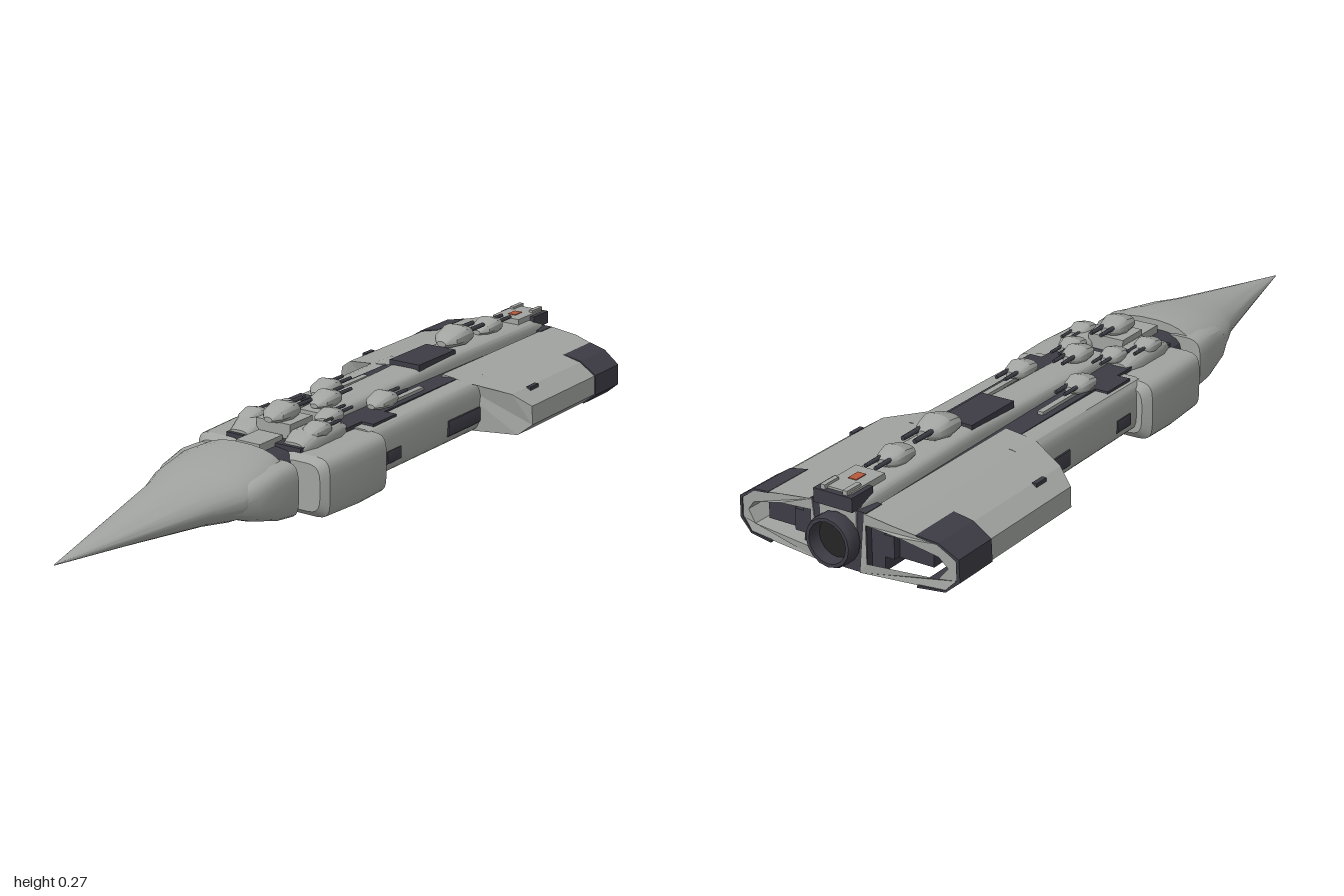
import * as THREE from 'three';
import { toCreasedNormals } from 'three/addons/utils/BufferGeometryUtils.js';

const mat = (name, color) => Object.assign(new THREE.MeshStandardMaterial({ color }), { name });

export function createModel() {
  const ship = new THREE.Group();
  ship.name = 'spaceship';
  const hull = mat('hull grey', 0xa0a39f);
  const dark = mat('dark panel', 0x3d3c45);
  const black = mat('engine black', 0x242424);
  const red = mat('red marking', 0xb5593c);

  function add(name, geo, material, parent = ship) {
    const m = new THREE.Mesh(geo, material);
    m.name = name;
    parent.add(m);
    return m;
  }

  // Loft along x through rounded sections [x, zCentre, halfWidth, yBottom, yTop, squareness]
  function loft(sections, n = 20) {
    const rings = sections.map(([x, zc, w, y0, y1, e = 2]) => {
      const ring = [];
      for (let j = 0; j < n; j++) {
        const a = ((j + 0.5) / n) * Math.PI * 2, c = Math.cos(a), s = Math.sin(a);
        const f = (v) => Math.sign(v) * Math.abs(v) ** (2 / e);
        ring.push([x, (y0 + y1) / 2 + f(s) * (y1 - y0) / 2, zc + w * f(c)]);
      }
      return ring;
    });
    const pos = [];
    const tri = (a, b, c) => pos.push(...a, ...b, ...c);
    for (let i = 0; i < rings.length - 1; i++) {
      for (let j = 0; j < n; j++) {
        const k = (j + 1) % n;
        tri(rings[i][j], rings[i + 1][j], rings[i + 1][k]);
        tri(rings[i][j], rings[i + 1][k], rings[i][k]);
      }
    }
    const mid = ([x, zc, , y0, y1]) => [x, (y0 + y1) / 2, zc];
    const last = rings.length - 1;
    for (let j = 0; j < n; j++) {
      const k = (j + 1) % n;
      tri(mid(sections[0]), rings[0][j], rings[0][k]);
      tri(mid(sections[last]), rings[last][k], rings[last][j]);
    }
    const g = new THREE.BufferGeometry();
    g.setAttribute('position', new THREE.Float32BufferAttribute(pos, 3));
    return toCreasedNormals(g, 0.5);
  }

  // Extrude a [z, y] profile along x on one side, with swept front and rear edges
  function prism(profile, side, x0, x1, { hole, sweep0 = 0, sweep1 = 0 } = {}) {
    const pts = (p) => p.map(([z, y]) => new THREE.Vector2(-side * z, y));
    const shape = new THREE.Shape(pts(profile));
    if (hole) shape.holes.push(new THREE.Path(pts(hole)));
    const g = new THREE.ExtrudeGeometry(shape, { depth: x1 - x0, bevelEnabled: false });
    g.rotateY(Math.PI / 2).translate(x0, 0, 0);
    const p = g.attributes.position;
    for (let i = 0; i < p.count; i++) {
      const t = Math.max(0, (Math.abs(p.getZ(i)) - 0.17) / 0.12);
      const x = p.getX(i);
      p.setX(i, x + t * (x < (x0 + x1) / 2 ? sweep0 : sweep1));
    }
    g.computeVertexNormals();
    return g;
  }

  function box(name, material, x0, x1, y0, y1, z0, z1) {
    const g = new THREE.BoxGeometry(x1 - x0, y1 - y0, z1 - z0);
    add(name, g.translate((x0 + x1) / 2, (y0 + y1) / 2, (z0 + z1) / 2), material);
  }

  // Nose cone, collar and neck
  add('noseCone', loft([[-1, 0, 0.001, 0.1, 0.102], [-0.8, 0, 0.05, 0.083, 0.133, 2],
    [-0.57, 0, 0.106, 0.06, 0.17, 2], [-0.5, 0, 0.135, 0.053, 0.18, 2.2],
    [-0.4, 0, 0.145, 0.045, 0.195, 2.4], [-0.33, 0, 0.13, 0.05, 0.195, 2.5]], 24), hull);
  for (const s of [1, -1]) {
    add('noseCheek', loft([[-0.54, s * 0.09, 0.025, 0.09, 0.13], [-0.46, s * 0.095, 0.052, 0.06, 0.16, 3],
      [-0.38, s * 0.1, 0.056, 0.04, 0.172, 4], [-0.32, s * 0.1, 0.056, 0.032, 0.17, 4]]), hull);
  }
  add('neck', loft([[-0.34, 0, 0.1, 0.05, 0.17, 4], [-0.24, 0, 0.1, 0.05, 0.17, 4]]), dark);
  box('neckBridge', hull, -0.31, -0.22, 0.15, 0.19, -0.035, 0.035);

  // Dark inner core and raised dorsal spine
  box('core', dark, -0.25, 0.94, 0.05, 0.178, -0.11, 0.11);
  add('dorsalSpine', loft([[-0.06, 0, 0.05, 0.12, 0.2, 5], [0.3, 0, 0.052, 0.12, 0.208, 5],
    [0.5, 0, 0.055, 0.12, 0.215, 5], [0.9, 0, 0.062, 0.12, 0.212, 5], [0.96, 0, 0.05, 0.13, 0.2, 5]]), hull);
  box('spinePanel', dark, 0.35, 0.52, 0.2, 0.222, -0.045, 0.045);
  box('sternBlock', dark, 0.9, 0.975, 0.188, 0.222, -0.052, 0.052);
  box('sternCap', hull, 0.84, 0.96, 0.212, 0.227, -0.04, 0.04);
  box('redMarking', red, 0.87, 0.905, 0.222, 0.229, -0.011, 0.011);
  for (const z of [-0.03, 0.03]) box('sternFin', hull, 0.92, 0.97, 0.19, 0.233, z - 0.006, z + 0.006);

  // Ventral keel
  add('keel', loft([[-0.02, 0, 0.035, 0.04, 0.08, 4], [0.1, 0, 0.045, 0.028, 0.08, 4],
    [0.42, 0, 0.045, 0.028, 0.08, 4], [0.52, 0, 0.03, 0.036, 0.08, 4]]), hull);
  box('keelPanel', dark, 0.45, 0.72, 0.034, 0.05, -0.06, 0.06);

  const outer = [[0.07, 0.185], [0.15, 0.175], [0.25, 0.152], [0.295, 0.122],
    [0.297, 0.072], [0.265, 0.044], [0.055, 0.04]];
  const inner = [[0.075, 0.158], [0.16, 0.152], [0.252, 0.122], [0.272, 0.098], [0.25, 0.07], [0.075, 0.066]];
  const tip = [[0.2, 0.1645], [0.251, 0.155], [0.298, 0.124], [0.3, 0.07], [0.266, 0.041], [0.2, 0.0395],
    [0.2, 0.0445], [0.264, 0.046], [0.292, 0.074], [0.291, 0.12], [0.249, 0.15], [0.2, 0.161]];

  for (const s of [1, -1]) {
    // Shoulder pods with upper armour
    add('shoulderPod', loft([[-0.27, s * 0.125, 0.055, 0.035, 0.155, 4], [-0.25, s * 0.125, 0.07, 0.018, 0.168, 5],
      [-0.12, s * 0.125, 0.075, 0.014, 0.17, 5], [-0.02, s * 0.125, 0.073, 0.016, 0.168, 5],
      [0, s * 0.125, 0.055, 0.035, 0.155, 4]], 24), hull);
    add('shoulderTop', loft([[-0.24, s * 0.08, 0.03, 0.15, 0.185, 3], [-0.2, s * 0.08, 0.042, 0.14, 0.205, 3],
      [-0.1, s * 0.08, 0.042, 0.14, 0.205, 3], [-0.05, s * 0.08, 0.025, 0.14, 0.185, 3]]), hull);

    // Side hulls with dark patches
    add('sideHull', loft([[-0.03, s * 0.125, 0.04, 0.043, 0.172, 4], [0.5, s * 0.125, 0.042, 0.042, 0.178, 4]]), hull);
    add('sidePatch', loft([[0.03, s * 0.125, 0.043, 0.068, 0.105, 8], [0.09, s * 0.125, 0.043, 0.068, 0.105, 8]]), dark);
    add('sidePatch', loft([[0.3, s * 0.125, 0.0445, 0.065, 0.112, 8], [0.45, s * 0.125, 0.0445, 0.065, 0.112, 8]]), dark);
    box('topPatch', dark, 0, 0.1, 0.168, 0.178, s * 0.125 - 0.02, s * 0.125 + 0.02);
    box('bottomPatch', dark, 0.3, 0.4, 0.0395, 0.05, s * 0.115 - 0.02, s * 0.115 + 0.02);

    // Wings: solid front, hollow stern, dark tips
    add('wing', prism(outer, s, 0.42, 0.8, { sweep0: 0.07 }), hull);
    add('wingStern', prism(outer, s, 0.8, 0.96, { hole: inner, sweep1: -0.03 }), hull);
    add('wingTip', prism(tip, s, 0.81, 0.955, { sweep1: -0.022 }), dark);
    box('wingHatch', dark, 0.54, 0.58, 0.145, 0.1545, s * 0.255 - 0.006, s * 0.255 + 0.006);
    box('sternGrille', dark, 0.8, 0.92, 0.082, 0.13, s * 0.17 - 0.055, s * 0.17 + 0.055);
    box('sternVent', dark, 0.8, 0.94, 0.085, 0.138, s * 0.1 - 0.035, s * 0.1 + 0.035);
    box('troughPipe', hull, 0.1, 0.3, 0.17, 0.186, s * 0.085 - 0.008, s * 0.085 + 0.008);
    box('bellyTrough', dark, 0.1, 0.56, 0.0385, 0.06, s * 0.062 - 0.014, s * 0.062 + 0.014);
  }

  // Engine housing and nozzle
  box('engineHousing', dark, 0.9, 0.957, 0.04, 0.186, -0.075, 0.075);
  const nozzle = [[0.052, 0.93], [0.056, 0.955], [0.062, 0.965], [0.062, 0.99], [0.058, 1], [0.05, 1], [0.046, 0.965]];
  const lathe = (pts) => new THREE.LatheGeometry(pts.map(([r, h]) => new THREE.Vector2(r, h)), 16)
    .rotateZ(-Math.PI / 2).translate(0, 0.113, 0);
  add('nozzle', toCreasedNormals(lathe(nozzle), 0.6), dark).material.side = THREE.DoubleSide;
  add('nozzleCore', new THREE.CircleGeometry(0.049, 16).rotateY(Math.PI / 2).translate(0.968, 0.113, 0), black);

  // Gun turrets with twin barrels; underside ones are flipped
  function turret(x, y, z, size, flipped = false) {
    const g = new THREE.Group();
    g.name = 'turret';
    add('turretBody', loft([[-0.06, 0, 0.012, 0.005, 0.018], [-0.04, 0, 0.03, 0, 0.034, 2.5],
      [0, 0, 0.036, -0.005, 0.045, 2.5], [0.03, 0, 0.03, 0, 0.036, 2.5], [0.05, 0, 0.014, 0.008, 0.026]], 14), hull, g);
    for (const bz of [-0.014, 0.014]) {
      add('barrel', new THREE.CylinderGeometry(0.005, 0.006, 0.07, 8).rotateZ(-Math.PI / 2).translate(0.06, 0.024, bz), dark, g);
    }
    g.position.set(x, y, z);
    g.scale.setScalar(size);
    if (flipped) g.rotation.x = Math.PI;
    ship.add(g);
  }
  box('turretDeck', hull, -0.21, -0.12, 0.16, 0.215, -0.05, 0.05);
  turret(-0.17, 0.212, 0, 1);
  turret(0.01, 0.198, 0, 0.9);
  turret(0.59, 0.215, 0, 1.15);
  turret(0.75, 0.208, 0, 0.95);
  for (const s of [1, -1]) {
    turret(-0.06, 0.185, s * 0.06, 0.8);
    turret(0.13, 0.18, s * 0.085, 0.9);
    turret(-0.16, 0.185, s * 0.095, 0.8);
  }
  turret(0.14, 0.041, 0, 0.9, true);
  turret(0.3, 0.044, 0, 0.8, true);
  turret(0.42, 0.044, 0, 0.7, true);
  return ship;
}
